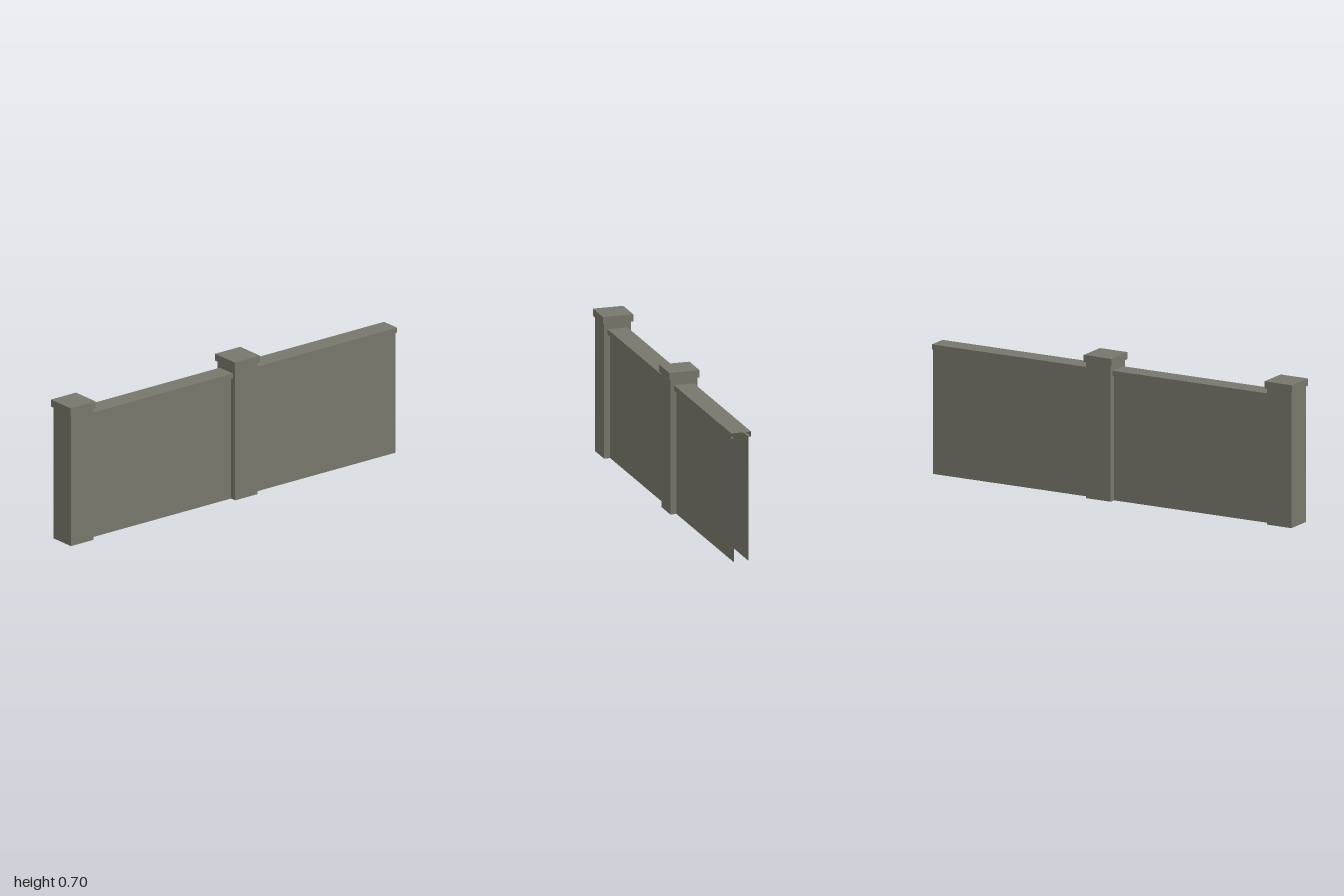
import * as THREE from 'three';

const stone = new THREE.MeshStandardMaterial({ color: 0x77776c, side: THREE.DoubleSide });
stone.name = 'greyStone';

function facetedMesh(geometry, name) {
  const flat = geometry.toNonIndexed();
  flat.computeVertexNormals();
  const mesh = new THREE.Mesh(flat, stone);
  mesh.name = name;
  return mesh;
}

// Hollow square pillar with an overhanging cap, open at the foot
function pillar(x) {
  const half = 0.068, capHalf = 0.076, capBottom = 0.67, top = 0.705;
  const profile = [[half, 0], [half, capBottom], [capHalf, capBottom], [capHalf, top], [0, top]]
    .map(([r, y]) => new THREE.Vector2(r * Math.SQRT2, y));
  const mesh = facetedMesh(new THREE.LatheGeometry(profile, 4, Math.PI / 4), 'pillar');
  mesh.position.x = x;
  return mesh;
}

// Hollow wall shell with a wider coping, open at the ends and the foot
function wallPanel(x0, x1) {
  const half = 0.037, copingHalf = 0.05, copingBottom = 0.615, top = 0.64;
  const front = [[copingHalf, top], [copingHalf, copingBottom], [half, copingBottom], [half, 0]];
  const back = front.map(([z, y]) => [-z, y]).reverse();
  const profile = [...back, ...front];
  const geometry = new THREE.PlaneGeometry(x1 - x0, 1, 1, profile.length - 1);
  const pos = geometry.attributes.position;
  // Each row of the sheet follows one point of the cross-section
  for (let i = 0; i < pos.count; i++) {
    const [z, y] = profile[Math.floor(i / 2)];
    pos.setY(i, y);
    pos.setZ(i, z);
  }
  const mesh = facetedMesh(geometry, 'wallPanel');
  mesh.position.x = (x0 + x1) / 2;
  return mesh;
}

export function createModel() {
  const group = new THREE.Group();
  group.name = 'wall';
  group.add(pillar(-0.924), pillar(0.072));
  group.add(wallPanel(-0.856, 0.004), wallPanel(0.14, 1));
  return group;
}
